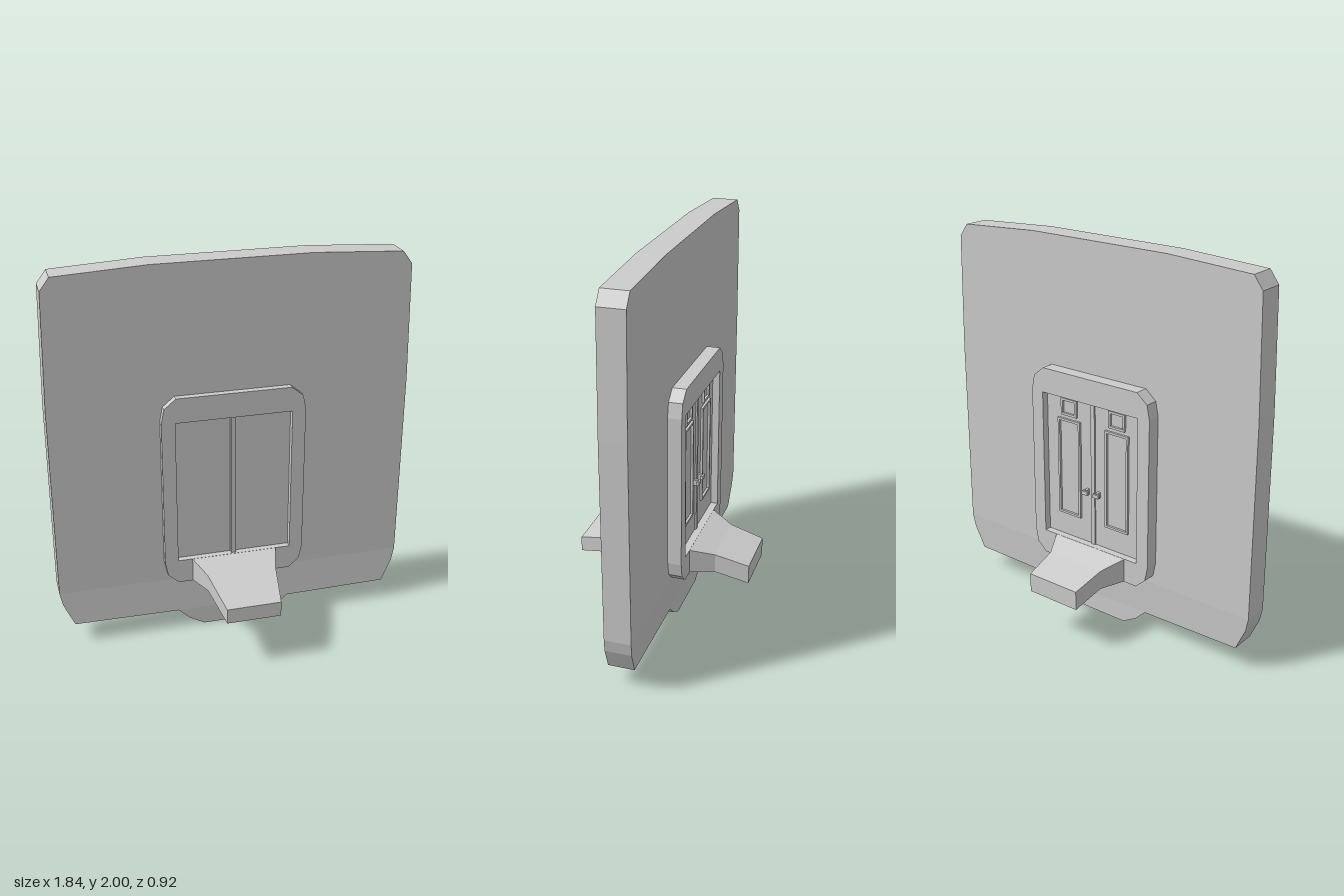
import * as THREE from 'three';

const material = new THREE.MeshStandardMaterial({ color: 0xcccccc, flatShading: true });

function add(group, name, geometry) {
  const mesh = new THREE.Mesh(geometry, material);
  mesh.name = name;
  group.add(mesh);
  return mesh;
}

const toPoints = (list) => list.map(([x, y]) => new THREE.Vector2(x, y));

// Closed outline from its right half, listed bottom to top
const mirrored = (half) => toPoints([...half, ...half.map(([x, y]) => [-x, y]).reverse()]);

const rect = (w, y0, y1) => mirrored([[w, y0], [w, y1]]);

// Flat plate between two depths, with an optional hole
function plate(outline, z0, z1, hole) {
  const shape = new THREE.Shape(outline);
  if (hole) shape.holes.push(new THREE.Path(hole));
  const geo = new THREE.ExtrudeGeometry(shape, { depth: z1 - z0, bevelEnabled: false });
  return geo.translate(0, 0, z0);
}

function box(x0, x1, y0, y1, z0, z1) {
  return new THREE.BoxGeometry(x1 - x0, y1 - y0, z1 - z0)
    .translate((x0 + x1) / 2, (y0 + y1) / 2, (z0 + z1) / 2);
}

// Tapered slab through sections [z, halfWidth, bottom, top], ordered by rising z
function ramp(sections) {
  const n = sections.length - 1;
  const geo = new THREE.BoxGeometry(2, 1, 1, 1, 1, n).toNonIndexed();
  const p = geo.attributes.position;
  for (let i = 0; i < p.count; i++) {
    const [z, w, y0, y1] = sections[Math.round((p.getZ(i) + 0.5) * n)];
    p.setXYZ(i, Math.sign(p.getX(i)) * w, p.getY(i) > 0 ? y1 : y0, z);
  }
  geo.computeVertexNormals();
  return geo;
}

export function createModel() {
  const model = new THREE.Group();
  model.name = 'doorwayWall';

  // Wall: straight upper part, lower part leaning slightly forward
  add(model, 'upperWall', plate(mirrored([
    [0.92, 0.3], [0.92, 1.31], [0.905, 1.91], [0.857, 1.975], [0.4, 2],
  ]), -0.097, 0.037));
  const lower = plate(mirrored([
    [0.16, 0], [0.24, 0.045], [0.3, 0.103], [0.85, 0.11], [0.905, 0.23], [0.92, 0.3],
  ]), -0.097, 0.037);
  const p = lower.attributes.position;
  for (let i = 0; i < p.count; i++) {
    p.setZ(i, p.getZ(i) + 0.01 * Math.min(1, (0.3 - p.getY(i)) / 0.19));
  }
  lower.computeVertexNormals();
  add(model, 'lowerWall', lower);

  // Door surround standing proud on both faces
  add(model, 'doorFrame', plate(mirrored([
    [0.3, 0.295], [0.355, 0.345], [0.37, 0.42], [0.37, 1.21], [0.355, 1.285], [0.295, 1.335],
  ]), -0.167, 0.073, rect(0.3, 0.425, 1.205)));

  // Recessed doors with a cover strip over the seam on each face
  add(model, 'doors', box(-0.3, 0.3, 0.425, 1.205, -0.13, 0.04));
  add(model, 'frontSeamStrip', box(-0.015, 0.01, 0.425, 1.205, 0.04, 0.062));
  add(model, 'backSeamStrip', box(-0.012, 0.012, 0.425, 1.205, -0.138, -0.13));

  // Raised mouldings and handles on the back of each door
  for (const side of [-1, 1]) {
    const leaf = new THREE.Group();
    leaf.name = side > 0 ? 'leftDoorDetails' : 'rightDoorDetails';
    for (const [name, w, y0, y1] of [['longPanel', 0.072, 0.55, 1.08], ['topPanel', 0.05, 1.1, 1.19]]) {
      const t = 0.012;
      add(leaf, name, plate(rect(w, y0, y1), -0.142, -0.13, rect(w - t, y0 + t, y1 - t)))
        .position.x = side * 0.152;
    }
    const x = side * 0.035;
    add(leaf, 'handleStem', box(x - 0.008, x + 0.008, 0.7, 0.73, -0.155, -0.13));
    add(leaf, 'handle', box(x - 0.018, x + 0.018, 0.705, 0.725, -0.163, -0.15));
    model.add(leaf);
  }

  // Ramps sloping down from the threshold
  add(model, 'frontRamp', ramp([
    [0.04, 0.225, 0.297, 0.424], [0.073, 0.225, 0.297, 0.424],
    [0.22, 0.18, 0.315, 0.405], [0.46, 0.14, 0.265, 0.345],
  ]));
  add(model, 'backRamp', ramp([
    [-0.46, 0.15, 0.24, 0.34], [-0.285, 0.165, 0.285, 0.385],
    [-0.167, 0.225, 0.297, 0.424], [-0.13, 0.225, 0.297, 0.424],
  ]));
  return model;
}
